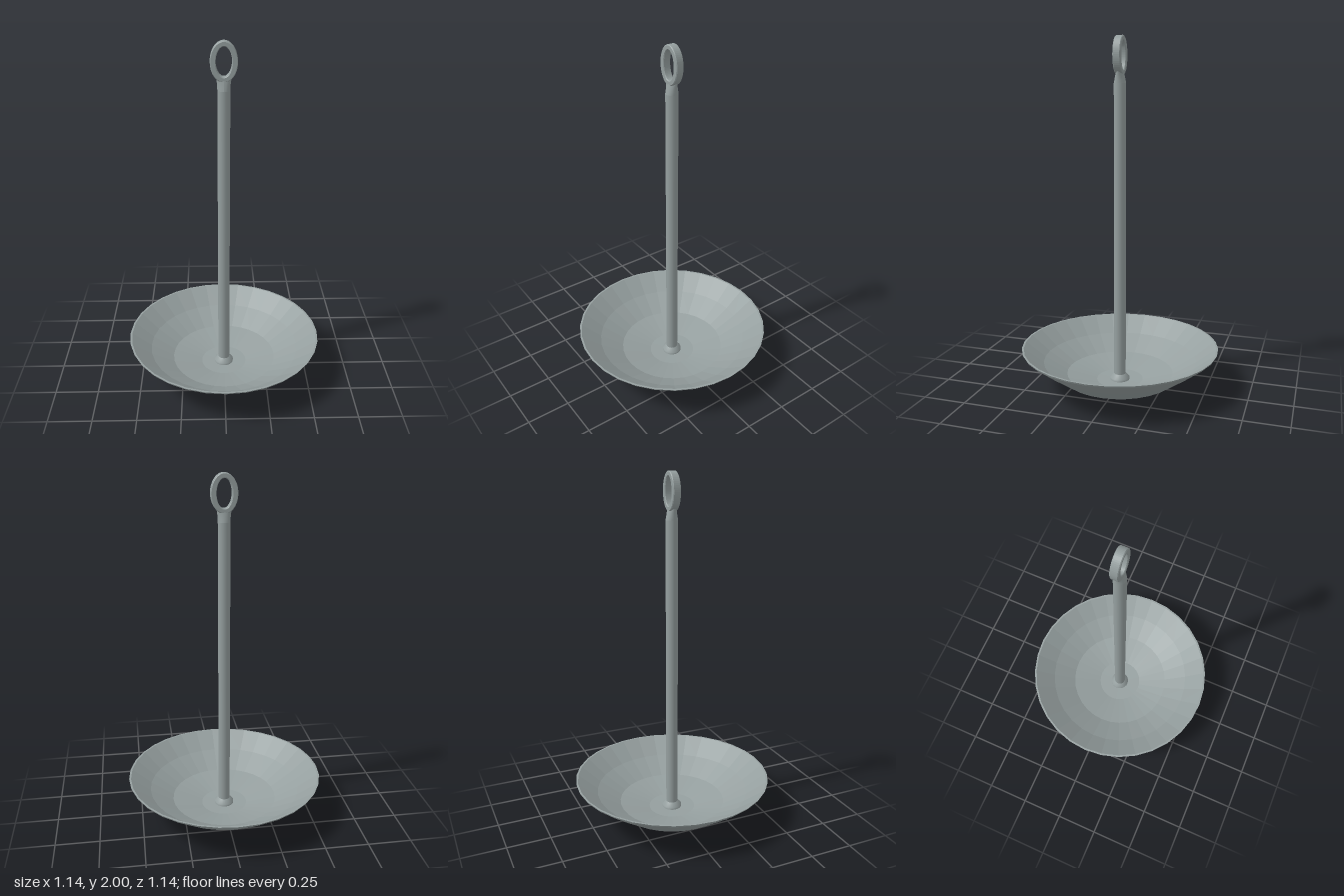
import * as THREE from 'three';

export function createModel() {
  const group = new THREE.Group();
  group.name = 'dishWithHangingRod';

  const metal = new THREE.MeshStandardMaterial({ color: 0x959f9f });
  metal.name = 'grey metal';

  const add = (name, geometry) => {
    const mesh = new THREE.Mesh(geometry, metal);
    mesh.name = name;
    group.add(mesh);
    return mesh;
  };
  const lathe = (points, sides) =>
    new THREE.LatheGeometry(points.map(([r, y]) => new THREE.Vector2(r, y)), sides);
  const faceted = (geometry) => {
    const flat = geometry.toNonIndexed();
    flat.computeVertexNormals();
    return flat;
  };

  // Thin faceted bowl: underside, rim, then the inside down to the middle
  add('dish', faceted(lathe([
    [0, 0.005], [0.2, 0.005], [0.34, 0.062], [0.455, 0.145], [0.565, 0.23],
    [0.57, 0.24], [0.559, 0.24], [0.445, 0.152], [0.31, 0.075], [0.135, 0.034], [0, 0.03],
  ], 32)));

  // Flat foot under the bowl
  const foot = add('foot', new THREE.CylinderGeometry(0.2, 0.198, 0.006, 32));
  foot.position.y = 0.003;

  // Weld collar where the rod meets the bowl
  add('collar', lathe([[0.056, 0.028], [0.056, 0.045], [0.034, 0.068]], 24));

  // Upright rod
  const rod = add('rod', new THREE.CylinderGeometry(0.034, 0.034, 1.715, 20, 1, true));
  rod.position.y = 0.03 + 1.715 / 2;

  // Neck: round at the rod, flattening towards the ring
  const neckGeometry = new THREE.CylinderGeometry(0.034, 0.034, 0.065, 20, 4);
  const p = neckGeometry.attributes.position;
  for (let i = 0; i < p.count; i++) {
    const t = p.getY(i) / 0.065 + 0.5;
    p.setX(i, p.getX(i) * (1 + 0.18 * t * t));
    p.setZ(i, p.getZ(i) * (1 - 0.42 * t));
  }
  neckGeometry.computeVertexNormals();
  const neck = add('neck', neckGeometry);
  neck.position.y = 1.745 + 0.0325;

  // Oval hanging ring with softened edges
  const bevel = 0.004;
  const oval = new THREE.Shape();
  oval.absellipse(0, 0, 0.072 - bevel, 0.105 - bevel, 0, Math.PI * 2);
  const hole = new THREE.Path();
  hole.absellipse(0, 0, 0.042 + bevel, 0.078 + bevel, 0, Math.PI * 2, true);
  oval.holes.push(hole);
  const ring = add('hangingRing', new THREE.ExtrudeGeometry(oval, {
    depth: 0.044 - 2 * bevel, curveSegments: 28,
    bevelSize: bevel, bevelThickness: bevel, bevelSegments: 1,
  }));
  ring.position.set(0, 1.895, -0.022 + bevel);

  return group;
}
